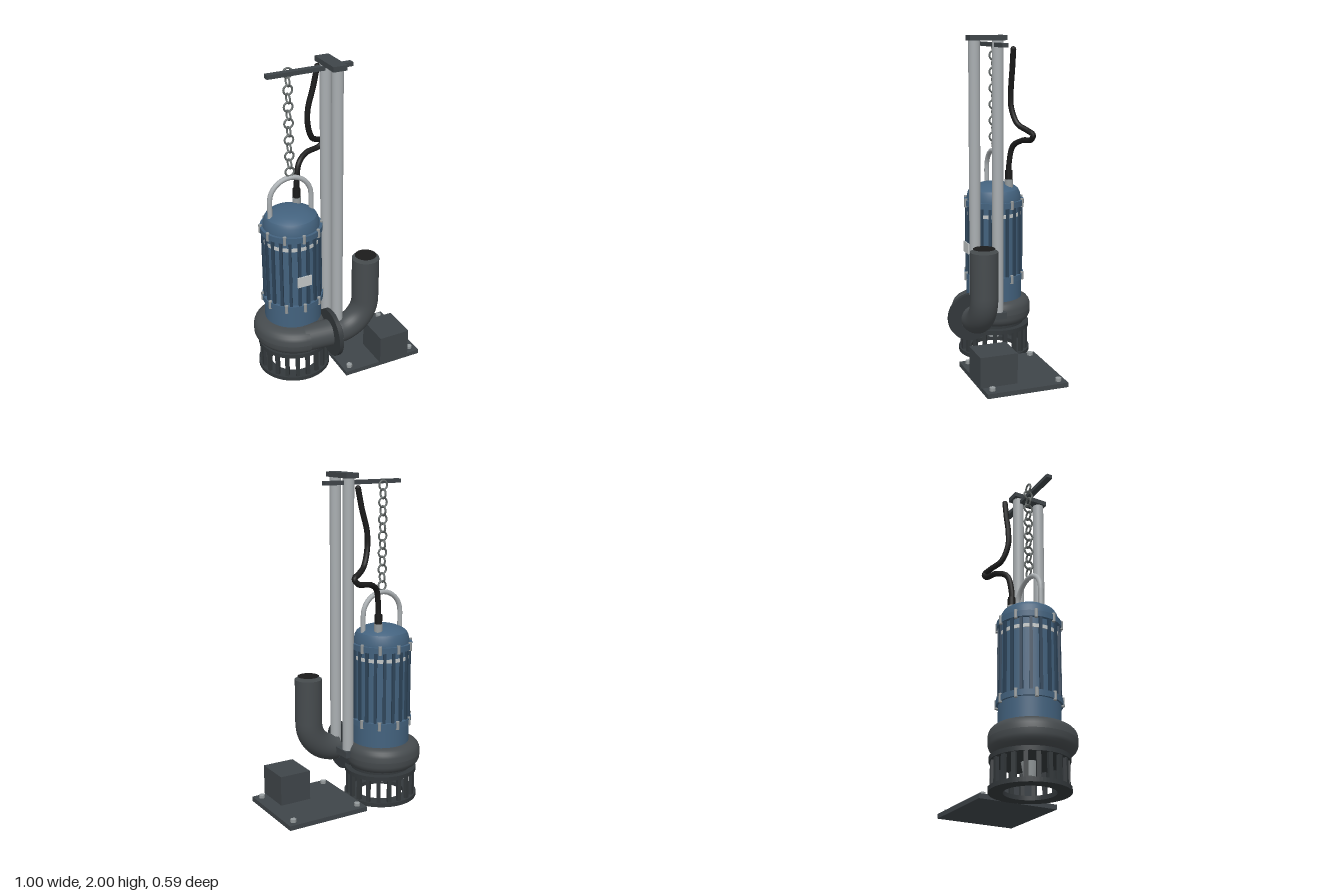
import * as THREE from 'three';

const mat = (name, color, side = THREE.FrontSide) => {
  const m = new THREE.MeshStandardMaterial({ color, side });
  m.name = name;
  return m;
};

export function createModel() {
  const M = {
    blue: mat('motor blue', 0x43627e),
    rib: mat('rib dark blue', 0x2d4459),
    iron: mat('cast iron', 0x464b4e, THREE.DoubleSide),
    steel: mat('dark steel', 0x3f4549),
    strainer: mat('strainer grey', 0x33383b),
    zinc: mat('galvanised rail', 0xa9aeb1),
    bolt: mat('bolt grey', 0x959b9d),
    chain: mat('chain grey', 0x666c6b),
    rubber: mat('black rubber', 0x1b1b1b),
    label: mat('pale label', 0xc2c6c6),
  };
  const root = new THREE.Group();
  root.name = 'submersiblePump';
  const add = (name, geo, m, x = 0, y = 0, z = 0, parent = root) => {
    const mesh = new THREE.Mesh(geo, m);
    mesh.name = name;
    mesh.position.set(x, y, z);
    parent.add(mesh);
    return mesh;
  };
  // Box given by its limits
  const block = (name, m, x0, x1, y0, y1, z0, z1, parent = root) =>
    add(name, new THREE.BoxGeometry(x1 - x0, y1 - y0, z1 - z0), m,
      (x0 + x1) / 2, (y0 + y1) / 2, (z0 + z1) / 2, parent);
  // Upright cylinder from y0 to y1
  const post = (name, m, r, y0, y1, x = 0, z = 0, parent = root, sides = 32, rTop = r) =>
    add(name, new THREE.CylinderGeometry(rTop, r, y1 - y0, sides), m, x, (y0 + y1) / 2, z, parent);
  // Sharp-edged lathe: each straight or curved run is its own profile
  const lathe = (name, m, pts, parent) =>
    add(name, new THREE.LatheGeometry(pts.map(p => new THREE.Vector2(...p)), 56), m, 0, 0, 0, parent);
  const around = (n, fn, offset = 0) => {
    for (let i = 0; i < n; i++) fn(offset + (i / n) * Math.PI * 2);
  };

  // Everything on the pump's axis
  const pump = new THREE.Group();
  pump.name = 'pump';
  pump.position.set(-0.245, 0, -0.06);
  root.add(pump);

  // Strainer: two rings joined by bars
  const ring = (name, rOut, rIn, y0, y1) => {
    const s = new THREE.Shape().absarc(0, 0, rOut, 0, Math.PI * 2);
    s.holes.push(new THREE.Path().absarc(0, 0, rIn, 0, Math.PI * 2, true));
    const g = new THREE.ExtrudeGeometry(s, { depth: y1 - y0, bevelEnabled: false, curveSegments: 40 });
    g.rotateX(-Math.PI / 2);
    add(name, g, M.strainer, 0, y0, 0, pump);
  };
  ring('strainerBottomRing', 0.225, 0.145, 0, 0.025);
  post('strainerTopPlate', M.strainer, 0.222, 0.167, 0.193, 0, 0, pump, 48);
  post('suctionCover', M.strainer, 0.185, 0.193, 0.23, 0, 0, pump, 48);
  around(20, a => {
    const bar = block('strainerBar', M.strainer, -0.012, 0.012, 0.02, 0.17, -0.01, 0.01, pump);
    bar.position.set(Math.sin(a) * 0.205, 0.095, Math.cos(a) * 0.205);
    bar.rotation.y = a;
  });
  post('impellerNose', M.bolt, 0.035, 0.085, 0.17, 0, 0, pump, 24, 0.05);

  // Volute: rounded sections that widen along one turn
  const N = 72, K = 28, pos = [], idx = [];
  for (let i = 0; i <= N; i++) {
    const t = i / N, a = t * Math.PI * 2, half = 0.08 + 0.07 * t;
    for (let k = 0; k <= K; k++) {
      const b = (k / K) * Math.PI * 2, c = Math.cos(b), s = Math.sin(b);
      const r = 0.12 + Math.sign(c) * Math.pow(Math.abs(c), 0.75) * (c > 0 ? half : 0.06);
      const y = 0.283 + Math.sign(s) * Math.pow(Math.abs(s), 0.7) * 0.086;
      pos.push(Math.sin(a) * r, y, Math.cos(a) * r);
      if (i < N && k < K) {
        const p = i * (K + 1) + k, q = p + K + 1;
        idx.push(p, q, p + 1, q, q + 1, p + 1);
      }
    }
  }
  const scroll = new THREE.BufferGeometry();
  scroll.setAttribute('position', new THREE.Float32BufferAttribute(pos, 3));
  scroll.setIndex(idx);
  scroll.computeVertexNormals();
  add('volute', scroll, M.iron, 0, 0, 0, pump);
  post('voluteCore', M.iron, 0.14, 0.21, 0.366, 0, 0, pump);

  // Volute outlet and its flange
  const outlet = new THREE.LineCurve3(new THREE.Vector3(-0.26, 0.285, 0.122), new THREE.Vector3(-0.09, 0.288, 0.142));
  add('voluteOutlet', new THREE.TubeGeometry(outlet, 1, 0.084, 32), M.iron);
  add('outletFlange', new THREE.CylinderGeometry(0.15, 0.15, 0.027, 48), M.strainer, -0.083, 0.29, 0.145)
    .rotation.z = Math.PI / 2;

  // Motor housing
  post('motorSkirt', M.blue, 0.175, 0.355, 0.49, 0, 0, pump, 56);
  post('motorBarrel', M.blue, 0.168, 0.48, 0.97, 0, 0, pump, 56);
  post('lowerMotorFlange', M.blue, 0.187, 0.485, 0.52, 0, 0, pump, 56);
  post('upperMotorFlange', M.blue, 0.187, 0.955, 0.99, 0, 0, pump, 56);
  lathe('capWall', M.blue, [[0.17, 0.985], [0.17, 1.0], [0.163, 1.035], [0.152, 1.055]], pump);
  lathe('capDome', M.blue, [[0.152, 1.055], [0.135, 1.068], [0.11, 1.08], [0.08, 1.09], [0.04, 1.094], [0, 1.095]], pump);
  post('paleBand', M.label, 0.1725, 0.893, 0.915, 0, 0, pump, 56);
  around(20, a => {
    const rib = block('coolingRib', M.rib, -0.009, 0.009, 0.52, 0.955, -0.011, 0.011, pump);
    rib.position.set(Math.sin(a) * 0.17, 0.7375, Math.cos(a) * 0.17);
    rib.rotation.y = a;
  }, Math.PI / 20);
  block('namePlate', M.label, -0.045, 0.045, 0.655, 0.722, 0.178, 0.186, pump);
  around(10, a => {
    for (const y of [0.503, 0.973])
      post('flangeBolt', M.bolt, 0.011, y - 0.026, y + 0.026, Math.sin(a) * 0.184, Math.cos(a) * 0.184, pump, 6);
  });

  // Lifting handle: two legs and a half circle
  const hoop = new THREE.CurvePath();
  const leg = (x, y0, y1) => new THREE.LineCurve3(new THREE.Vector3(x, y0, 0), new THREE.Vector3(x, y1, 0));
  hoop.add(leg(-0.133, 0.99, 1.16));
  const arc = [];
  for (let i = 0; i <= 12; i++) {
    const a = Math.PI * (1 - i / 12);
    arc.push(new THREE.Vector3(Math.cos(a) * 0.133, 1.16 + Math.sin(a) * 0.133, 0));
  }
  hoop.add(new THREE.CatmullRomCurve3(arc));
  hoop.add(leg(0.133, 1.16, 0.99));
  add('liftingHandle', new THREE.TubeGeometry(hoop, 60, 0.015, 12), M.zinc, 0, 0, 0, pump);

  // Chain of alternating links
  for (let i = 0; i < 13; i++)
    add('chainLink', new THREE.TorusGeometry(0.027, 0.006, 8, 20), M.chain, 0, 1.925 - i * 0.0495, 0, pump)
      .rotation.y = (i % 2) * Math.PI / 2;

  // Cable gland and power cable
  post('cableGland', M.bolt, 0.026, 1.05, 1.12, -0.172, -0.134, root, 16);
  post('cableSleeve', M.rubber, 0.023, 1.12, 1.175, -0.172, -0.134, root, 16);
  const cable = new THREE.CatmullRomCurve3([
    [-0.172, 1.12, -0.134], [-0.17, 1.22, -0.134], [-0.145, 1.33, -0.15], [-0.08, 1.37, -0.185],
    [0.015, 1.385, -0.205], [0.042, 1.418, -0.205], [0.0, 1.44, -0.185], [-0.06, 1.475, -0.145],
    [-0.098, 1.57, -0.12], [-0.098, 1.67, -0.117], [-0.065, 1.8, -0.113], [-0.04, 1.92, -0.11],
  ].map(p => new THREE.Vector3(...p)));
  add('powerCable', new THREE.TubeGeometry(cable, 110, 0.017, 10), M.rubber);
  add('cableEnd', new THREE.SphereGeometry(0.017, 10, 6), M.rubber, -0.04, 1.918, -0.11);

  // Guide rails with brackets and crossbar
  for (const z of [0.135, -0.011]) post('guideRail', M.zinc, 0.034, 0.3, 1.975, -0.037, z);
  block('topBracket', M.steel, -0.08, 0.004, 1.97, 2, -0.057, 0.172);
  block('lowerBracket', M.steel, -0.078, 0.004, 0.278, 0.318, -0.057, 0.172);
  block('crossbar', M.steel, -0.4, 0.12, 1.932, 1.956, -0.018, 0.019);

  // Discharge elbow and riser
  const bend = new THREE.CurvePath();
  const bendPts = [];
  for (let i = 0; i <= 10; i++) {
    const a = (i / 10) * Math.PI / 2;
    bendPts.push(new THREE.Vector3(-0.035 + Math.sin(a) * 0.188, 0.48 - Math.cos(a) * 0.188, 0.143));
  }
  bend.add(new THREE.CatmullRomCurve3(bendPts));
  bend.add(new THREE.LineCurve3(bendPts[10], new THREE.Vector3(0.153, 0.76, 0.143)));
  add('dischargeElbow', new THREE.TubeGeometry(bend, 40, 0.083, 36), M.iron);
  add('elbowInletFace', new THREE.CircleGeometry(0.083, 36), M.iron, -0.035, 0.292, 0.143).rotation.y = -Math.PI / 2;
  add('riserRim', new THREE.CircleGeometry(0.083, 36), M.iron, 0.153, 0.76, 0.143).rotation.x = -Math.PI / 2;
  add('riserBore', new THREE.CircleGeometry(0.066, 36), M.rubber, 0.153, 0.778, 0.143).rotation.x = -Math.PI / 2;

  // Base plate, foot block and anchor bolts
  block('basePlate', M.steel, -0.025, 0.5, 0, 0.028, -0.25, 0.245);
  block('footBlock', M.steel, 0.21, 0.41, 0.028, 0.212, 0.03, 0.257);
  for (const x of [0.018, 0.456])
    for (const z of [-0.206, 0.201]) post('anchorBolt', M.bolt, 0.019, 0.025, 0.047, x, z, root, 6);

  return root;
}
